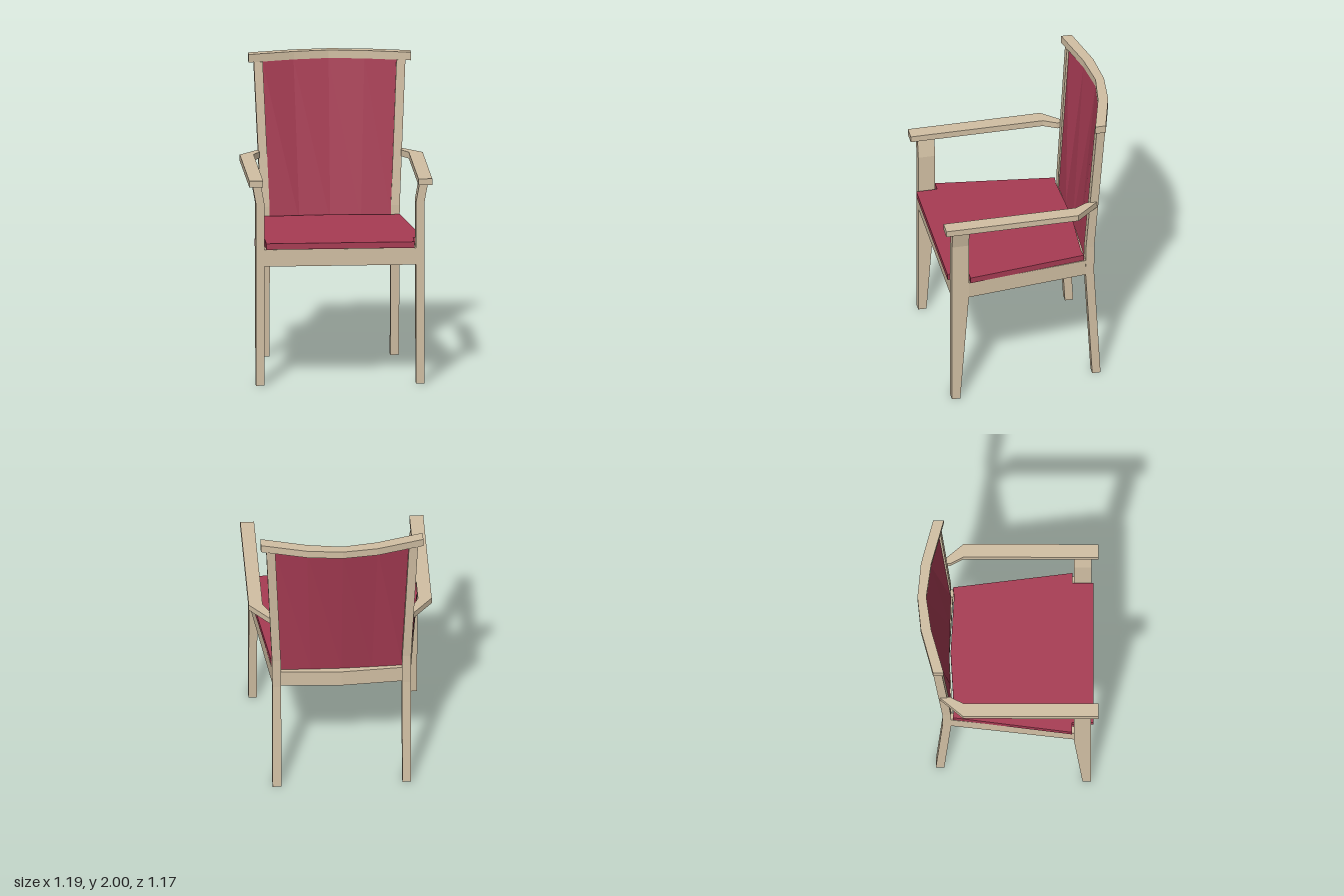
import * as THREE from 'three';

const wood = new THREE.MeshStandardMaterial({ color: 0xd2c0a4, flatShading: true });
const fabric = new THREE.MeshStandardMaterial({ color: 0xa83c54, flatShading: true });

// Skin four-cornered cross-sections (counterclockwise seen from the far end) and cap both ends
function loft(rings) {
  const pos = [];
  const quad = (a, b, c, d) => pos.push(...a, ...b, ...c, ...a, ...c, ...d);
  for (let i = 0; i < rings.length - 1; i++) {
    for (let j = 0; j < 4; j++) {
      const k = (j + 1) % 4;
      quad(rings[i][j], rings[i][k], rings[i + 1][k], rings[i + 1][j]);
    }
  }
  const [a, b, c, d] = rings[0];
  quad(d, c, b, a);
  quad(...rings[rings.length - 1]);
  const g = new THREE.BufferGeometry();
  g.setAttribute('position', new THREE.Float32BufferAttribute(pos, 3));
  g.computeVertexNormals();
  return g;
}

// Upright post from rows of [y, inner x, outer x, back z, front z] on the given side
function post(rows, side) {
  return loft(rows.map(([y, xi, xo, z0, z1]) => {
    const x0 = Math.min(xi * side, xo * side), x1 = Math.max(xi * side, xo * side);
    return [[x0, y, z1], [x1, y, z1], [x1, y, z0], [x0, y, z0]];
  }));
}

// Flat slab with an [x, z] outline, between two heights
function slab(outline, y0, y1) {
  const shape = new THREE.Shape(outline.map(([x, z]) => new THREE.Vector2(x, -z)));
  const g = new THREE.ExtrudeGeometry(shape, { depth: y1 - y0, bevelEnabled: false });
  return g.rotateX(-Math.PI / 2).translate(0, y0, 0);
}

// Complete a right-half outline that starts and ends near the centre line
const mirrored = (half) => [
  ...half,
  ...half.filter(([x]) => x > 0).reverse().map(([x, z]) => [-x, z]),
];

export function createModel() {
  const chair = new THREE.Group();
  chair.name = 'armchair';
  const add = (name, geometry, material = wood) => {
    const mesh = new THREE.Mesh(geometry, material);
    mesh.name = name;
    chair.add(mesh);
  };

  for (const side of [1, -1]) {
    const label = side > 0 ? 'left' : 'right';
    const flip = (pts) => pts.map(([x, z]) => [x * side, z]);

    // Front leg tapers below the seat and flares out under the armrest
    add(label + 'FrontLeg', post([
      [0, 0.493, 0.548, 0.485, 0.54],
      [0.787, 0.493, 0.548, 0.428, 0.54],
      [1.2, 0.493, 0.548, 0.428, 0.54],
      [1.322, 0.515, 0.57, 0.428, 0.54],
    ], side));

    // Back leg runs on upward as the backrest post
    add(label + 'BackLeg', post([
      [0, 0.393, 0.45, -0.467, -0.412],
      [0.787, 0.393, 0.45, -0.425, -0.368],
      [1.0, 0.395, 0.452, -0.425, -0.37],
      [1.947, 0.435, 0.493, -0.49, -0.434],
    ], side));

    // Armrest, angled in to meet the post
    add(label + 'Armrest', slab(flip([
      [0.505, 0.587], [0.595, 0.587], [0.595, -0.29],
      [0.465, -0.443], [0.46, -0.375], [0.505, -0.29],
    ]), 1.322, 1.364));

    // Side rail splays out from the back leg to the front leg
    add(label + 'SeatRail', slab(flip([
      [0.493, 0.45], [0.545, 0.45], [0.448, -0.385], [0.398, -0.385],
    ]), 0.787, 0.898));
  }

  // Seat frame front and back
  add('frontSeatRail', slab(mirrored([[0.495, 0.537], [0.495, 0.43]]), 0.787, 0.898));
  add('backSeatRail', slab(mirrored([
    [0, -0.435], [0.395, -0.412], [0.395, -0.358], [0, -0.381],
  ]), 0.787, 0.898));

  // Seat pad, widening toward the front and notched round the front legs
  add('seatPad', slab(mirrored([
    [0, -0.372], [0.39, -0.35], [0.45, -0.357],
    [0.55, 0.417], [0.482, 0.417], [0.482, 0.555],
  ]), 0.902, 0.942), fabric);

  // Underside of the pad, sunk inside the frame
  add('seatBase', slab(mirrored([
    [0, -0.37], [0.405, -0.348], [0.493, 0.43],
  ]), 0.83, 0.902), fabric);

  // Curved top rail
  add('topRail', slab(mirrored([
    [0, -0.587], [0.228, -0.565], [0.528, -0.485], [0.528, -0.416], [0.228, -0.498], [0, -0.53],
  ]), 1.947, 2));

  // Back panel: nearly straight at the seat, bowed at the top; [bottom x, bottom z, top x, top z]
  const half = [[0, -0.38, 0, -0.532], [0.2, -0.376, 0.23, -0.5], [0.396, -0.37, 0.437, -0.447]];
  const stations = [
    ...half.slice(1).reverse().map(([bx, bz, tx, tz]) => [-bx, bz, -tx, tz]), ...half,
  ];
  const t = 0.016;
  add('backPanel', loft(stations.map(([bx, bz, tx, tz]) => [
    [bx, 0.898, bz], [bx, 0.898, bz - t], [tx, 1.947, tz - t], [tx, 1.947, tz],
  ])), fabric);

  return chair;
}
